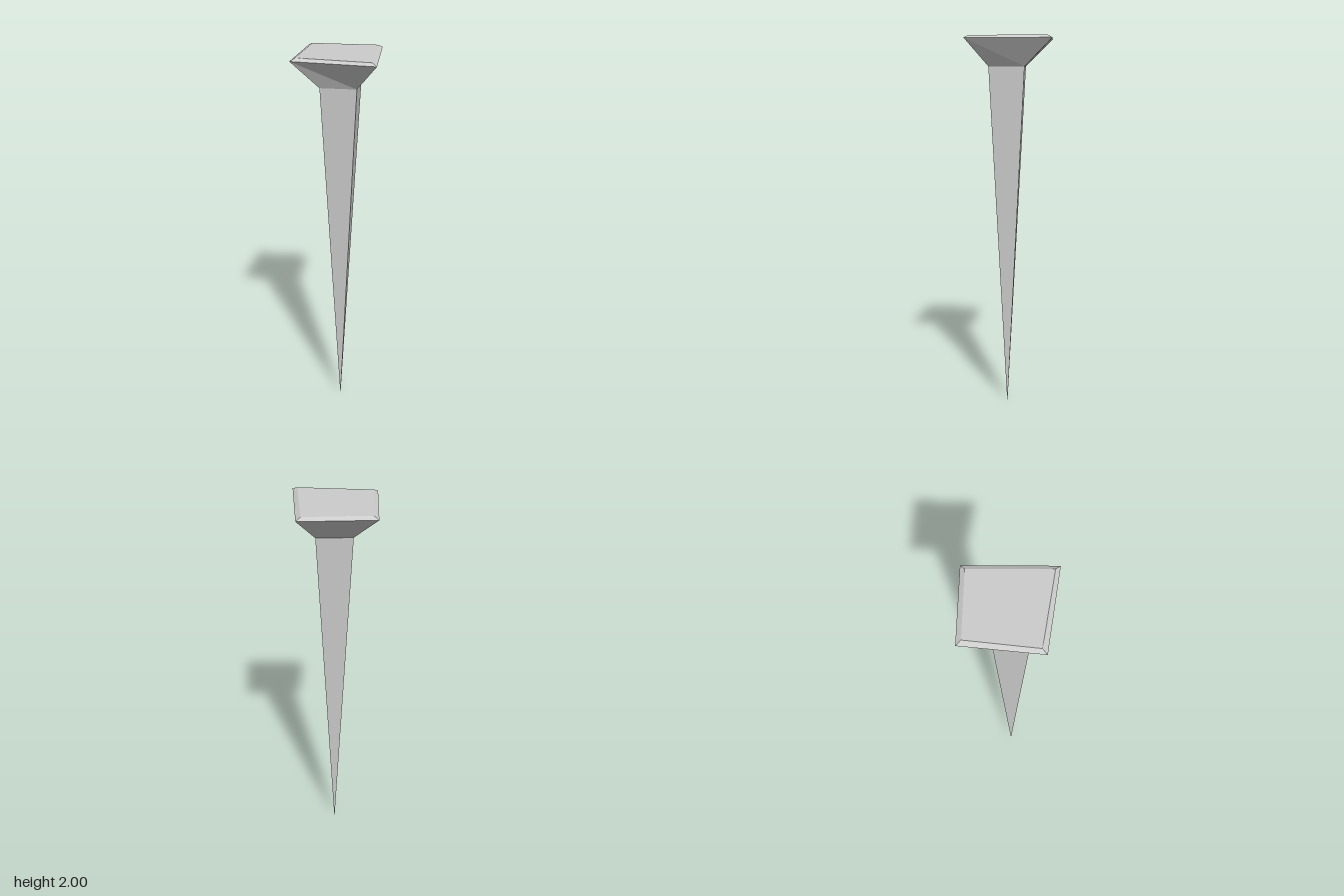
import * as THREE from 'three';

// Joins four-cornered rings [x, z] at rising heights into flat-sided faces
function loft(name, rings, capTop) {
  const pos = [];
  const add = (...pts) => pts.forEach((p) => pos.push(...p));
  const rows = rings.map(({ y, c }) => c.map(([x, z]) => [x, y, z]));
  for (let r = 0; r < rows.length - 1; r++) {
    const a = rows[r], b = rows[r + 1];
    for (let i = 0; i < 4; i++) {
      const j = (i + 1) % 4;
      add(a[i], b[i], b[j], a[i], b[j], a[j]);
    }
  }
  if (capTop) {
    const t = rows[rows.length - 1];
    add(t[0], t[2], t[1], t[0], t[3], t[2]);
  }
  const geometry = new THREE.BufferGeometry();
  geometry.setAttribute('position', new THREE.Float32BufferAttribute(pos, 3));
  geometry.computeVertexNormals();
  const material = new THREE.MeshStandardMaterial({
    color: 0xcccccc, flatShading: true, side: THREE.DoubleSide,
  });
  const mesh = new THREE.Mesh(geometry, material);
  mesh.name = name;
  return mesh;
}

const square = (cx, cz, h) => [[cx - h, cz - h], [cx + h, cz - h], [cx + h, cz + h], [cx - h, cz + h]];

export function createModel() {
  const nail = new THREE.Group();
  nail.name = 'nail';

  const neck = { y: 1.845, c: square(0.0125, 0.0125, 0.0925) };

  // Long square shaft tapering to a point
  nail.add(loft('shaft', [{ y: 0, c: square(0.0125, 0.0145, 0.001) }, neck], false));

  // Flared, slightly uneven head with a bevelled top edge
  nail.add(loft('head', [
    neck,
    { y: 1.987, c: [[-0.188, -0.22], [0.196, -0.223], [0.212, 0.22], [-0.213, 0.173]] },
    { y: 2, c: [[-0.165, -0.196], [0.172, -0.2], [0.189, 0.197], [-0.19, 0.15]] },
  ], true));

  return nail;
}
